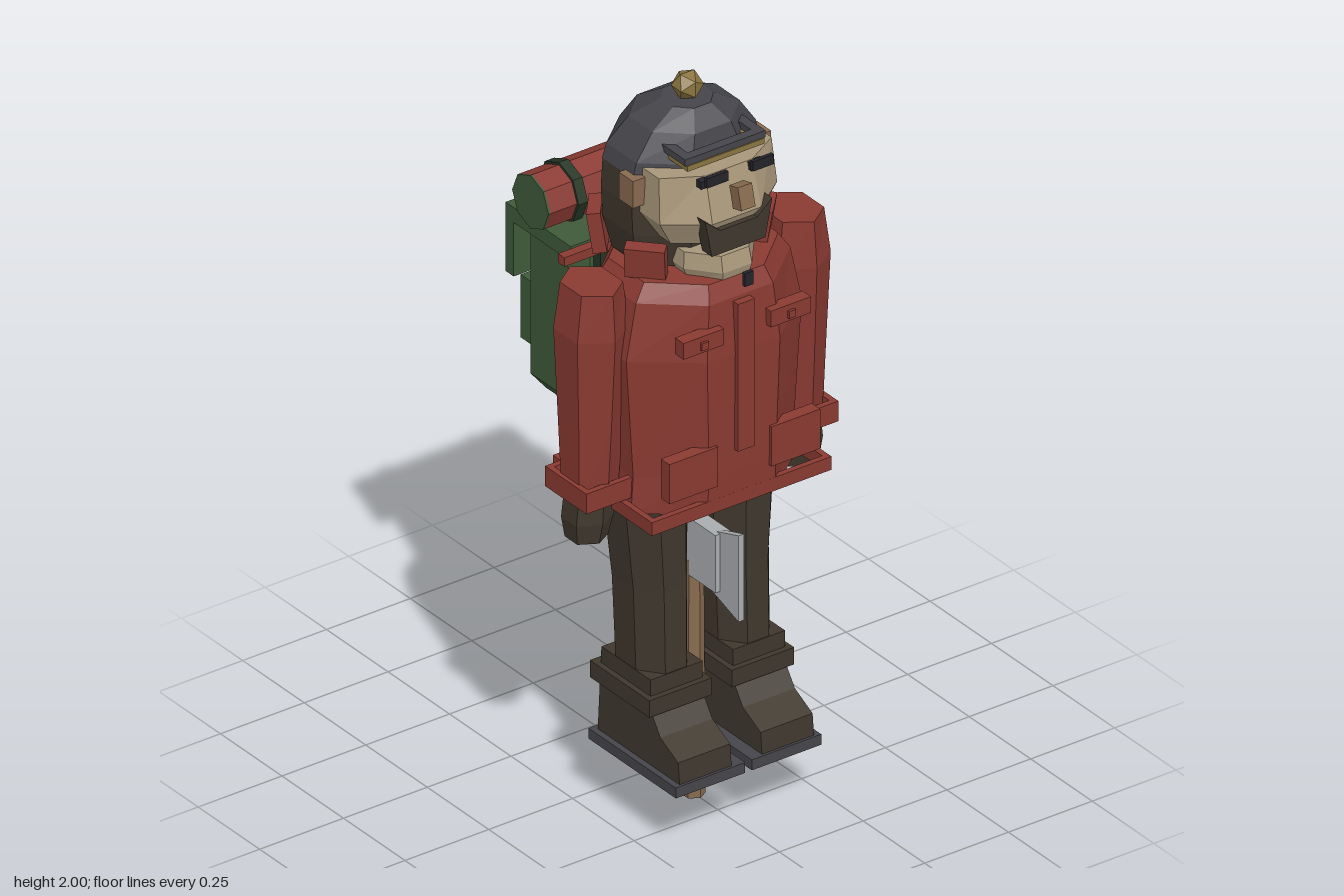
import * as THREE from 'three';

const mat = (name, color) => {
  const m = new THREE.MeshStandardMaterial({ color });
  m.name = name;
  return m;
};

export function createModel() {
  const red = mat('coat red', 0x8a3a32), green = mat('pack green', 0x3f5a3a);
  const strapGreen = mat('strap green', 0x263524), brown = mat('dark brown', 0x3f372d);
  const grey = mat('slate grey', 0x45454b), gold = mat('brass', 0x8a7540);
  const tan = mat('skin tan', 0xa8977a), wood = mat('wood', 0x886a4f);
  const steel = mat('steel', 0xa9adb0), black = mat('black', 0x25242a);
  const model = new THREE.Group();

  const add = (name, geo, m, x = 0, y = 0, z = 0) => {
    const flat = geo.index ? geo.toNonIndexed() : geo;
    flat.computeVertexNormals();
    const mesh = new THREE.Mesh(flat, m);
    mesh.name = name;
    mesh.position.set(x, y, z);
    model.add(mesh);
    return mesh;
  };
  // Box given by its limits on each axis
  const box = (name, m, x0, x1, y0, y1, z0, z1) =>
    add(name, new THREE.BoxGeometry(Math.abs(x1 - x0), y1 - y0, z1 - z0), m, (x0 + x1) / 2, (y0 + y1) / 2, (z0 + z1) / 2);
  // Hollow rectangular band of four bars
  const frame = (name, m, x0, x1, y0, y1, z0, z1, t) => {
    box(name, m, x0, x0 + t, y0, y1, z0, z1);
    box(name, m, x1 - t, x1, y0, y1, z0, z1);
    box(name, m, x0 + t, x1 - t, y0, y1, z0, z0 + t);
    box(name, m, x0 + t, x1 - t, y0, y1, z1 - t, z1);
  };
  // Polygon ring fitted to half extents; phase in steps
  const ngon = (n, phase, y, rx, rz, cx, cz) => {
    const raw = Array.from({ length: n }, (_, i) => {
      const a = ((i + phase) / n) * Math.PI * 2;
      return [Math.sin(a), Math.cos(a)];
    });
    const mx = Math.max(...raw.map(p => Math.abs(p[0]))), mz = Math.max(...raw.map(p => Math.abs(p[1])));
    return raw.map(([x, z]) => [cx + (x / mx) * rx, y, cz + (z / mz) * rz]);
  };
  const oct = (...a) => ngon(8, 0.5, ...a);
  const hex = (...a) => ngon(6, 0, ...a);
  // Rectangle ring with cut corners
  const cutRect = (y, hx, hz, c, cz) => [
    [hx - c, y, cz + hz], [hx, y, cz + hz - c], [hx, y, cz - hz + c], [hx - c, y, cz - hz],
    [c - hx, y, cz - hz], [-hx, y, cz - hz + c], [-hx, y, cz + hz - c], [c - hx, y, cz + hz]];
  // Skin rings from bottom to top and close both ends
  const loft = (name, m, rings) => {
    const v = [], n = rings[0].length, last = rings[rings.length - 1];
    const tri = (a, b, c) => v.push(...a, ...b, ...c);
    for (let i = 0; i + 1 < rings.length; i++) for (let j = 0; j < n; j++) {
      const k = (j + 1) % n, lo = rings[i], hi = rings[i + 1];
      tri(lo[j], lo[k], hi[k]);
      tri(lo[j], hi[k], hi[j]);
    }
    for (let j = 1; j + 1 < n; j++) {
      tri(rings[0][0], rings[0][j + 1], rings[0][j]);
      tri(last[0], last[j], last[j + 1]);
    }
    const g = new THREE.BufferGeometry();
    g.setAttribute('position', new THREE.Float32BufferAttribute(v, 3));
    return add(name, g, m);
  };
  const extrude = (pts, depth) => new THREE.ExtrudeGeometry(
    new THREE.Shape(pts.map(p => new THREE.Vector2(...p))), { depth, bevelEnabled: false });

  // Coat
  loft('coat', red, [oct(0.9, 0.245, 0.195, 0, 0.15), oct(1.0, 0.24, 0.2, 0, 0.15),
    oct(1.33, 0.262, 0.205, 0, 0.15), oct(1.48, 0.23, 0.195, 0, 0.15), oct(1.525, 0.2, 0.175, 0, 0.15)]);
  frame('coatHem', red, -0.268, 0.268, 0.9, 0.937, -0.055, 0.347, 0.016);
  box('coatPlacket', red, -0.025, 0.025, 1.06, 1.47, 0.34, 0.366);
  box('backYoke', red, -0.245, 0.245, 1.46, 1.485, -0.066, -0.04);

  for (const s of [1, -1]) {
    // Coat pockets and buttons
    box('chestPocket', red, s * 0.07, s * 0.19, 1.375, 1.42, 0.335, 0.37);
    box('pocketButton', red, s * 0.12, s * 0.14, 1.385, 1.405, 0.37, 0.377);
    box('hipPocket', red, s * 0.08, s * 0.225, 0.98, 1.09, 0.325, 0.36);
    // Sleeve, cuff and hand
    loft('sleeve', red, [hex(0.94, 0.058, 0.072, s * 0.305, 0.145), hex(1.15, 0.066, 0.085, s * 0.303, 0.145),
      hex(1.4, 0.077, 0.098, s * 0.301, 0.145), hex(1.525, 0.062, 0.088, s * 0.3, 0.145)]);
    const c = s * 0.298;
    frame('cuff', red, c - 0.078, c + 0.078, 0.942, 0.998, 0.06, 0.228, 0.016);
    loft('hand', brown, [hex(0.825, 0.046, 0.052, s * 0.315, 0.145), hex(0.88, 0.056, 0.062, s * 0.312, 0.145),
      hex(0.97, 0.052, 0.06, s * 0.306, 0.145)]);
    // Trouser leg, boot and sole
    loft('leg', brown, [oct(0.4, 0.076, 0.1, s * 0.123, 0.148), oct(0.65, 0.08, 0.105, s * 0.122, 0.138),
      oct(0.92, 0.095, 0.115, s * 0.13, 0.128)]);
    const boot = add('boot', extrude([[-0.035, 0.193], [-0.05, 0.43], [-0.25, 0.43], [-0.25, 0.345],
      [-0.29, 0.288], [-0.362, 0.252], [-0.368, 0.193]], 0.155), brown, s * 0.123 - 0.0775);
    boot.rotation.y = Math.PI / 2;
    frame('bootBand', brown, s * 0.123 - 0.093, s * 0.123 + 0.093, 0.338, 0.385, 0.024, 0.266, 0.03);
    box('sole', grey, s * 0.01, s * 0.217, 0.165, 0.194, 0.02, 0.375);
    // Upturned collar panels
    for (const [z, turn, h] of [[0.005, s * 0.7, 0.11], [0.2, -s * 0.75, 0.085]]) {
      const p = add('collarPanel', new THREE.BoxGeometry(0.035, h, 0.1), red, s * 0.178, 1.525 + h / 2, z);
      p.rotation.order = 'YXZ';
      p.rotation.set(0, turn, -s * 0.15);
    }
    box('backCollarTab', red, s * 0.05, s * 0.1, 1.51, 1.58, -0.04, -0.02);
    // Ears, eyes and brows
    box('ear', wood, s * 0.17, s * 0.206, 1.715, 1.79, 0.128, 0.186);
    box('brow', black, s * 0.037, s * 0.1, 1.808, 1.835, 0.332, 0.343);
    box('eye', black, s * 0.055, s * 0.095, 1.788, 1.808, 0.292, 0.312);
    // Rucksack straps and buckles
    box('shoulderStrap', strapGreen, s * 0.072, s * 0.127, 1.05, 1.45, -0.082, -0.054);
    box('buckle', tan, s * 0.087, s * 0.118, 1.32, 1.35, -0.348, -0.342);
    const rollStrap = add('bedrollStrap', new THREE.CylinderGeometry(0.081, 0.081, 0.028, 8), strapGreen, s * 0.13, 1.56, -0.2);
    rollStrap.rotation.z = Math.PI / 2;
    const rollEnd = add('bedrollEnd', new THREE.CylinderGeometry(0.074, 0.074, 0.006, 8), green, s * 0.226, 1.56, -0.2);
    rollEnd.rotation.z = Math.PI / 2;
  }

  // Neck fleece and throat button
  loft('fleeceCollar', tan, [oct(1.5, 0.085, 0.12, 0, 0.2), oct(1.545, 0.105, 0.13, 0, 0.2), oct(1.588, 0.1, 0.12, 0, 0.2)]);
  box('throatButton', black, -0.013, 0.013, 1.52, 1.557, 0.367, 0.378);

  // Head: hair at the back, face, beard and nose
  loft('hair', brown, [oct(1.53, 0.165, 0.135, 0, 0.1), oct(1.62, 0.186, 0.15, 0, 0.096),
    oct(1.7, 0.19, 0.152, 0, 0.096), oct(1.78, 0.187, 0.15, 0, 0.098)]);
  loft('face', tan, [oct(1.62, 0.135, 0.1, 0, 0.2), oct(1.69, 0.175, 0.127, 0, 0.2), oct(1.81, 0.168, 0.095, 0, 0.2)]);
  add('beard', extrude([[-0.08, 1.607], [0.08, 1.607], [0.1, 1.71], [0.055, 1.672], [-0.055, 1.672], [-0.1, 1.71]], 0.04),
    brown, 0, 0, 0.295);
  const nose = add('nose', new THREE.BoxGeometry(0.042, 0.06, 0.036), wood, 0, 1.757, 0.35);
  nose.rotation.x = -0.25;

  // Cap with peak, brass trim and bobble
  loft('cap', grey, [oct(1.78, 0.188, 0.151, 0, 0.098), oct(1.82, 0.178, 0.148, 0, 0.1),
    oct(1.89, 0.13, 0.118, 0, 0.112), oct(1.932, 0.06, 0.062, 0, 0.125)]);
  frame('capPeak', grey, -0.12, 0.12, 1.847, 1.865, 0.185, 0.281, 0.026);
  frame('capTrim', gold, -0.115, 0.115, 1.832, 1.847, 0.19, 0.284, 0.03);
  add('bobble', new THREE.IcosahedronGeometry(0.04, 0), gold, 0, 1.962, 0.126);

  // Rucksack with flap and pocket
  loft('rucksack', green, [cutRect(0.99, 0.145, 0.085, 0.03, -0.197), cutRect(1.03, 0.175, 0.115, 0.038, -0.197),
    cutRect(1.45, 0.175, 0.115, 0.038, -0.197)]);
  box('flapTop', green, -0.198, 0.198, 1.44, 1.482, -0.343, -0.078);
  box('flapBack', green, -0.198, 0.198, 1.29, 1.44, -0.343, -0.31);
  box('rucksackPocket', green, -0.128, 0.128, 1.065, 1.24, -0.377, -0.3);
  const roll = add('bedroll', new THREE.CylinderGeometry(0.074, 0.074, 0.446, 8), red, 0, 1.56, -0.2);
  roll.rotation.z = Math.PI / 2;

  // Axe standing between the legs
  add('axeShaft', new THREE.CylinderGeometry(0.026, 0.03, 0.66, 6), wood, 0, 0.33, 0.15);
  box('axeHead', steel, -0.022, 0.022, 0.62, 0.78, 0.11, 0.27);
  const blade = add('axeBlade', extrude([[-0.24, 0.605], [-0.24, 0.775], [-0.345, 0.81], [-0.345, 0.57]], 0.016), steel, -0.008);
  blade.rotation.y = Math.PI / 2;

  return model;
}
